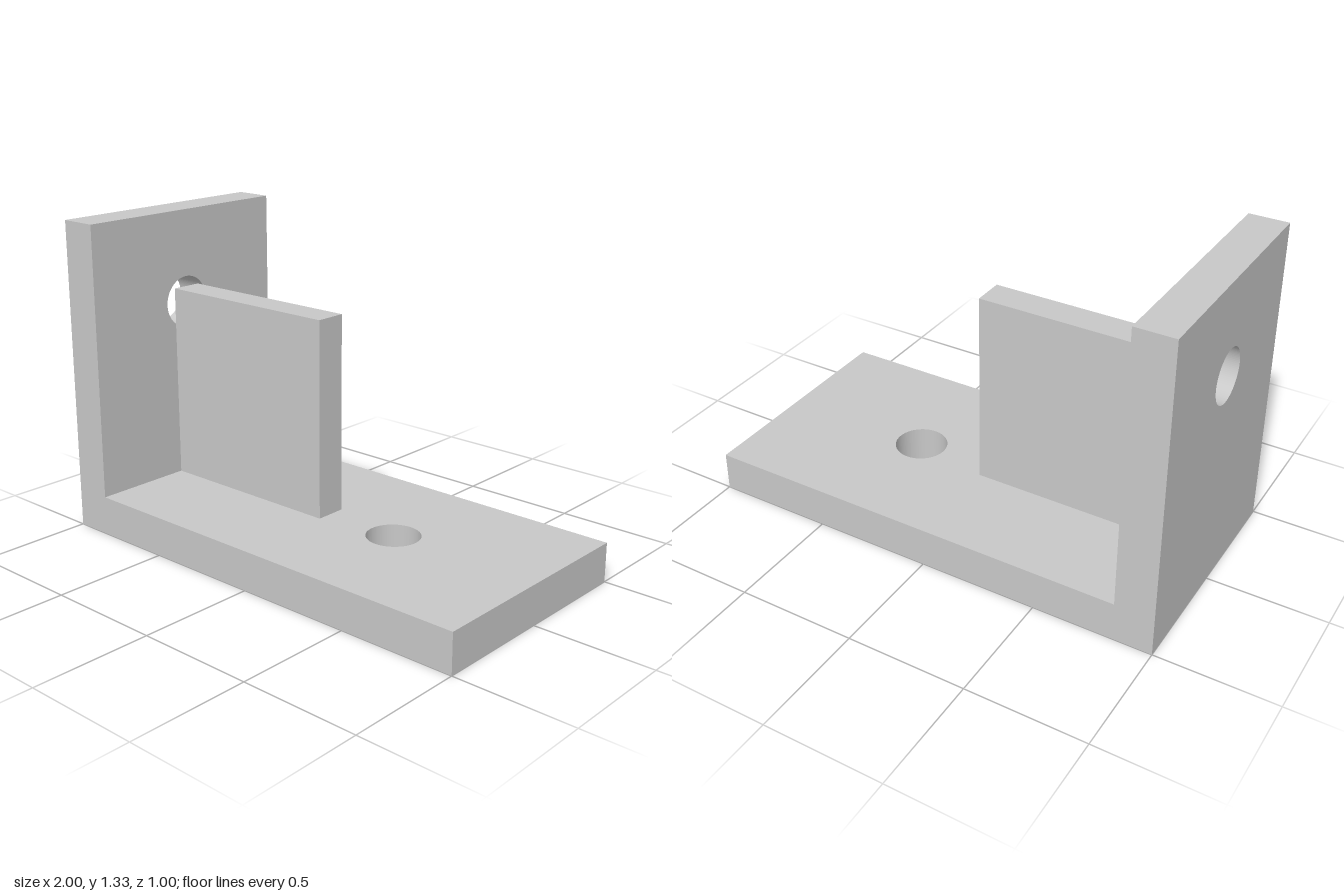
import * as THREE from 'three';

const WIDTH = 1;        // depth of the bracket along z
const HEIGHT = 1.333;
const THICK = 0.167;    // base thickness
const WALL = 0.163;     // upright thickness
const HOLE_R = 0.111;

// Rectangular plate in the XY plane with one round through hole
function drilledPlate(x0, x1, y0, y1, holeX, holeY, depth) {
  const shape = new THREE.Shape([
    new THREE.Vector2(x0, y0), new THREE.Vector2(x1, y0),
    new THREE.Vector2(x1, y1), new THREE.Vector2(x0, y1),
  ]);
  const hole = new THREE.Path();
  hole.absarc(holeX, holeY, HOLE_R, 0, Math.PI * 2, true);
  shape.holes.push(hole);
  return new THREE.ExtrudeGeometry(shape, { depth, bevelEnabled: false, curveSegments: 48 });
}

export function createModel() {
  const bracket = new THREE.Group();
  bracket.name = 'angleBracket';
  const grey = new THREE.MeshStandardMaterial({ color: 0xc8c8c8 });
  grey.name = 'light grey';

  const add = (name, geometry) => {
    const mesh = new THREE.Mesh(geometry, grey);
    mesh.name = name;
    bracket.add(mesh);
  };

  // Horizontal base with a vertical bolt hole
  const base = drilledPlate(-1 + WALL, 1, -WIDTH / 2, WIDTH / 2, 0.333, 0, THICK);
  base.rotateX(-Math.PI / 2);
  add('basePlate', base);

  // Upright end wall with a horizontal bolt hole
  const wall = drilledPlate(-WIDTH / 2, WIDTH / 2, 0, HEIGHT, 0, 0.933, WALL);
  wall.rotateY(Math.PI / 2).translate(-1, 0, 0);
  add('uprightPlate', wall);

  // Central square rib joining wall and base
  const ribLength = 1 - WALL, ribHeight = 1 - THICK;
  const rib = new THREE.BoxGeometry(ribLength, ribHeight, 0.133);
  rib.translate(-ribLength / 2, THICK + ribHeight / 2, 0);
  add('centralRib', rib);

  return bracket;
}
